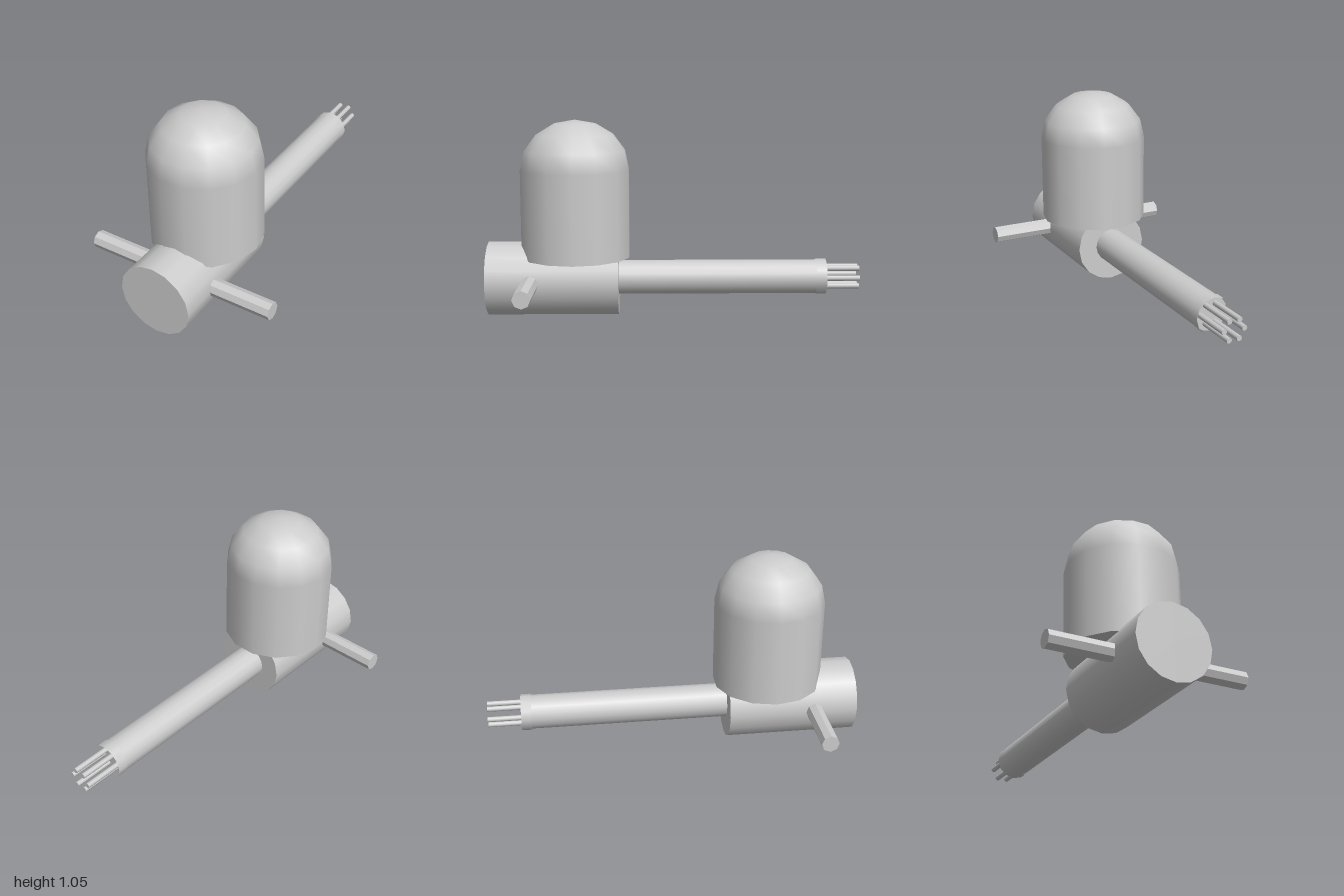
import * as THREE from 'three';

const AXIS_Y = 0.2025; // height of the shared barrel axis
const grey = new THREE.MeshStandardMaterial({ color: 0xcccccc });
grey.name = 'plain grey';

function add(parent, name, geometry) {
  const mesh = new THREE.Mesh(geometry, grey);
  mesh.name = name;
  parent.add(mesh);
  return mesh;
}

// Cylinder lying along z between two depths
function cylinderZ(radius, z0, z1, sides, open = false, x = 0, y = AXIS_Y) {
  return new THREE.CylinderGeometry(radius, radius, Math.abs(z1 - z0), sides, 1, open)
    .rotateX(Math.PI / 2)
    .translate(x, y, (z0 + z1) / 2);
}

export function createModel() {
  const model = new THREE.Group();
  model.name = 'domedDevice';

  // Main barrel
  add(model, 'barrel', cylinderZ(0.2, 0.3, 1, 16, false, 0, 0.2));

  // Upright housing with a slightly flattened dome
  const housing = new THREE.Group();
  housing.name = 'domeHousing';
  housing.position.z = 0.53;
  model.add(housing);
  add(housing, 'housingWall', new THREE.CylinderGeometry(0.294, 0.294, 0.47, 14)
    .rotateY(Math.PI / 2).translate(0, 0.555, 0));
  add(housing, 'dome', new THREE.SphereGeometry(0.294, 14, 4, 0, Math.PI * 2, 0, Math.PI / 2)
    .scale(1, 0.9, 1).translate(0, 0.79, 0));

  // Faceted side rods, left and right
  for (const [name, side] of [['leftRod', 1], ['rightRod', -1]]) {
    const rod = new THREE.CylinderGeometry(0.047, 0.047, 0.43, 8)
      .rotateZ(Math.PI / 2).translate(side * 0.315, AXIS_Y, 0.765).toNonIndexed();
    rod.computeVertexNormals();
    add(model, name, rod);
  }

  // Long rear tube with an open collar at its end
  add(model, 'rearTube', cylinderZ(0.093, 0.32, -0.78, 16));
  add(model, 'collar', cylinderZ(0.098, -0.765, -0.82, 12, true));

  // Ring of six pins
  const pins = new THREE.Group();
  pins.name = 'pins';
  model.add(pins);
  for (let i = 0; i < 6; i++) {
    const a = i * Math.PI / 3;
    add(pins, 'pin', cylinderZ(0.0145, -0.77, -1, 8, false,
      0.056 * Math.cos(a), AXIS_Y + 0.056 * Math.sin(a)));
  }
  return model;
}
